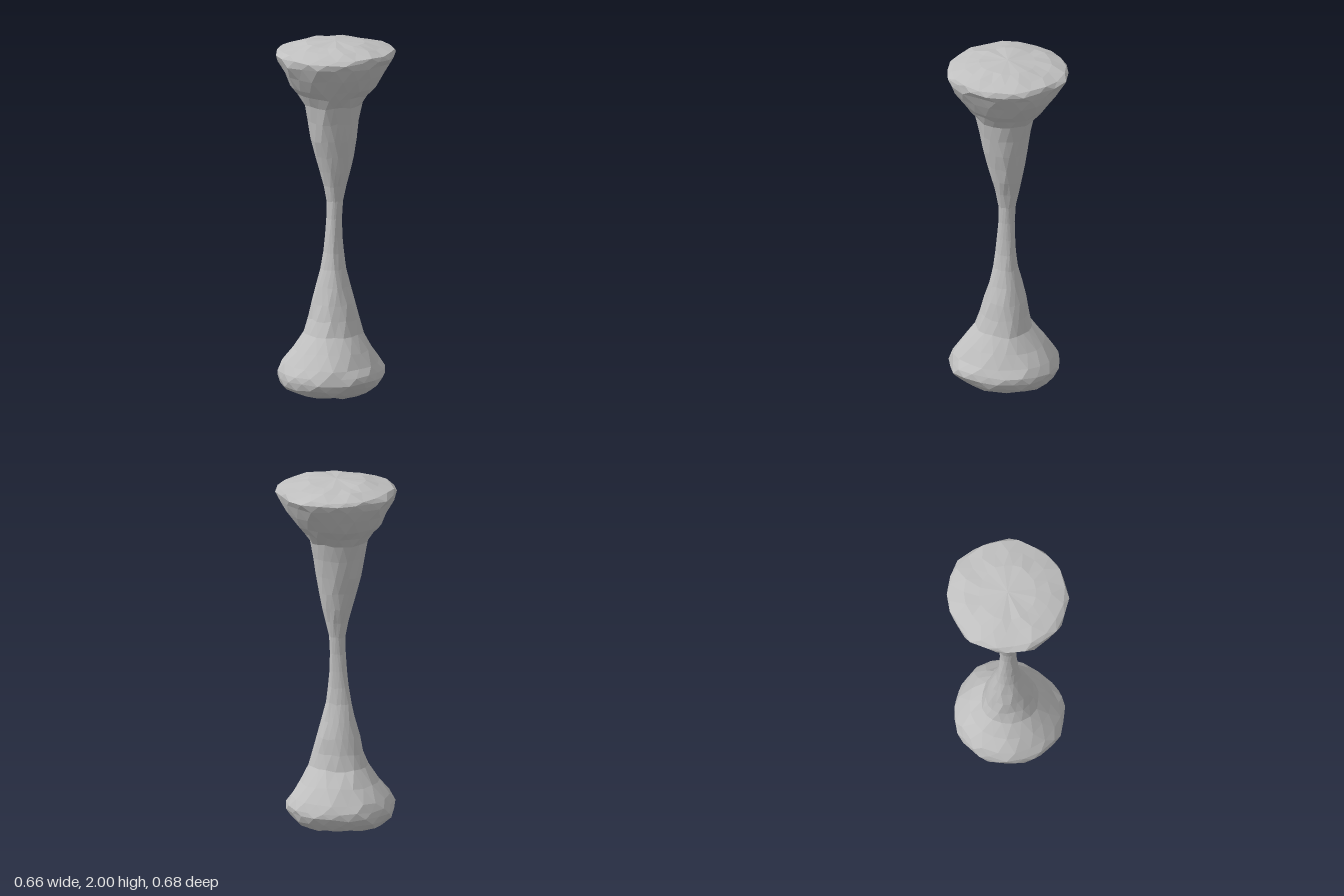
import * as THREE from 'three';

const SIDES = 20;
const ROUGHNESS = 0.03;

// Key cross-sections: height, then extents to -x, +x, -z, +z
const KEYS = [
  [0.015, 0.15, 0.13, 0.13, 0.15],
  [0.05, 0.28, 0.21, 0.235, 0.28],
  [0.12, 0.32, 0.275, 0.29, 0.33],
  [0.2, 0.295, 0.24, 0.265, 0.3],
  [0.36, 0.18, 0.155, 0.135, 0.18],
  [0.53, 0.13, 0.11, 0.105, 0.13],
  [0.72, 0.085, 0.06, 0.055, 0.08],
  [0.9, 0.058, 0.037, 0.041, 0.06],
  [1.1, 0.052, 0.04, 0.045, 0.052],
  [1.27, 0.09, 0.083, 0.08, 0.09],
  [1.45, 0.138, 0.117, 0.11, 0.142],
  [1.65, 0.172, 0.146, 0.15, 0.183],
  [1.75, 0.25, 0.23, 0.235, 0.25],
  [1.89, 0.322, 0.308, 0.32, 0.33],
  [1.95, 0.315, 0.325, 0.325, 0.31],
  [1.988, 0.16, 0.16, 0.16, 0.16],
];
const LAST = KEYS.length - 1;

function seeded(seed) {
  return () => {
    seed = (seed * 16807) % 2147483647;
    return seed / 2147483647;
  };
}

// Even rings sit on the keys, odd rings on a smooth curve halfway between
function section(i) {
  const k = Math.floor(i / 2);
  if (i % 2 === 0) return KEYS[k];
  const before = KEYS[Math.max(k - 1, 0)], after = KEYS[Math.min(k + 2, LAST)];
  return KEYS[k].map((v, n) => (9 * (v + KEYS[k + 1][n]) - before[n] - after[n]) / 16);
}

// Irregular rings, each turned half a step from the one below
function makeRings() {
  const rand = seeded(417);
  return Array.from({ length: LAST * 2 + 1 }, (_, i) => {
    const [y, x0, x1, z0, z1] = section(i);
    return Array.from({ length: SIDES }, (_, j) => {
      const a = ((j + (i % 2) * 0.5) / SIDES) * Math.PI * 2;
      const c = Math.cos(a), s = Math.sin(a);
      const k = 1 + (rand() - 0.6) * 2 * ROUGHNESS;
      const lift = (rand() - 0.5) * 0.4 * ROUGHNESS;
      return [c * (c > 0 ? x1 : x0) * k, y + lift, s * (s > 0 ? z1 : z0) * k];
    });
  });
}

// Skin rings from..to, closing an end with a centre point where given
function skin(rings, from, to, bottom, top) {
  const pos = [];
  const tri = (a, b, c) => pos.push(...a, ...b, ...c);
  for (let j = 0; j < SIDES; j++) {
    const n = (j + 1) % SIDES;
    for (let i = from; i < to; i++) {
      const L = rings[i], U = rings[i + 1];
      if (i % 2 === 0) {
        tri(L[j], U[j], L[n]);
        tri(L[n], U[j], U[n]);
      } else {
        tri(L[j], U[j], U[n]);
        tri(L[j], U[n], L[n]);
      }
    }
    if (bottom) tri(bottom, rings[from][j], rings[from][n]);
    if (top) tri(top, rings[to][n], rings[to][j]);
  }
  const g = new THREE.BufferGeometry();
  g.setAttribute('position', new THREE.Float32BufferAttribute(pos, 3));
  g.computeVertexNormals();
  return g;
}

export function createModel() {
  const group = new THREE.Group();
  group.name = 'flaredPillar';
  const stone = new THREE.MeshStandardMaterial({ color: 0xc0c0c0, flatShading: true });
  stone.name = 'paleGrey';
  const rings = makeRings();
  const add = (name, geometry) => {
    const mesh = new THREE.Mesh(geometry, stone);
    mesh.name = name;
    group.add(mesh);
  };
  // Bulging foot, pinched shaft and flat-topped head
  add('foot', skin(rings, 0, 8, [0, 0, 0], null));
  add('shaft', skin(rings, 8, 22, null, null));
  add('head', skin(rings, 22, LAST * 2, null, [0, 2, 0]));
  return group;
}
